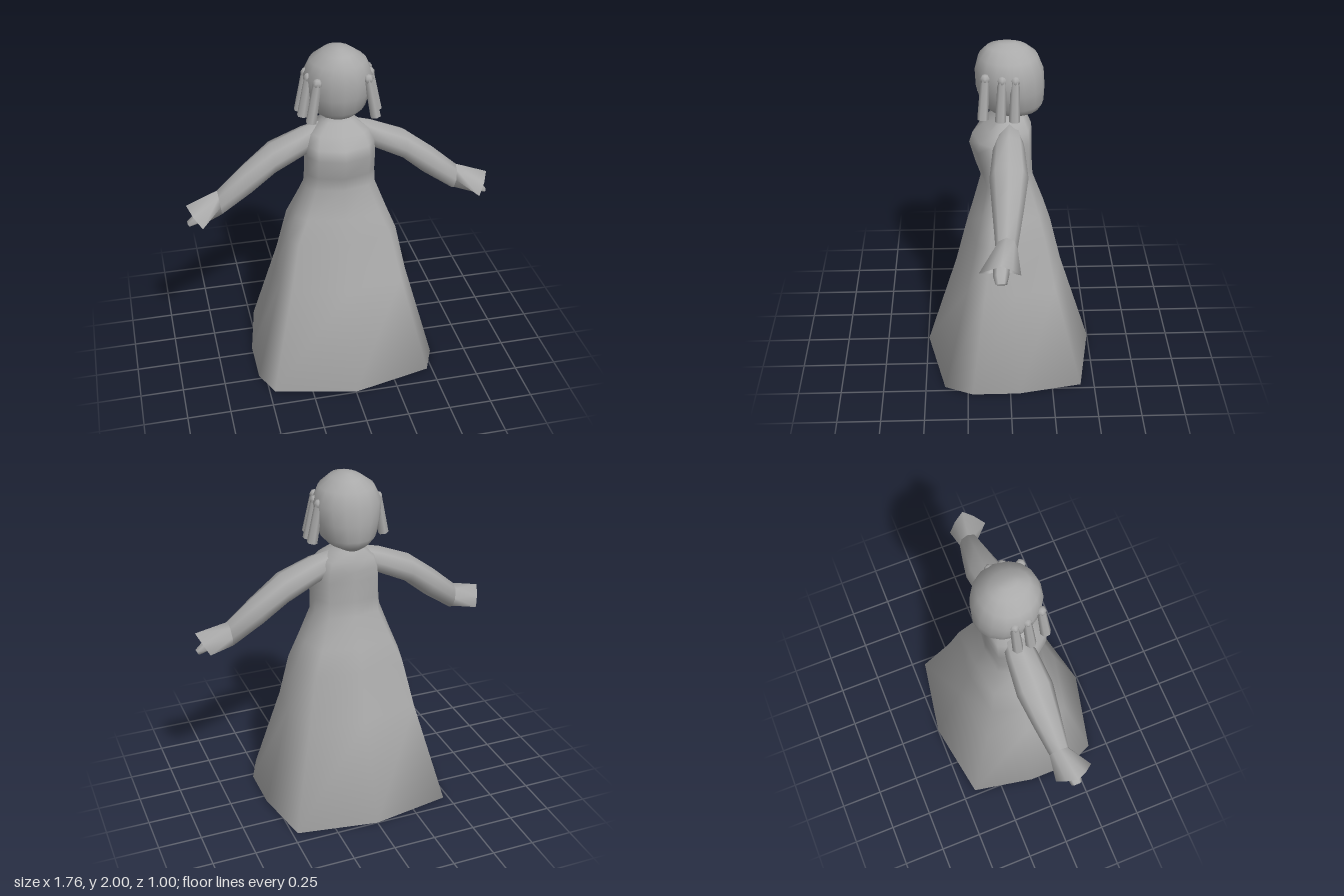
import * as THREE from 'three';

const gray = new THREE.MeshStandardMaterial({ color: 0xaaaaaa, side: THREE.DoubleSide });
gray.name = 'plain gray';

// Skin a list of equal-length rings of [x, y, z]; shared vertices give smooth normals.
function loft(name, rings, capped = true) {
  const n = rings[0].length, pos = rings.flat(2), index = [];
  for (let r = 0; r < rings.length - 1; r++) {
    for (let i = 0; i < n; i++) {
      const a = r * n + i, b = r * n + (i + 1) % n;
      index.push(a, b, b + n, a, b + n, a + n);
    }
  }
  const cap = (r, flip) => {
    const c = pos.length / 3;
    for (let k = 0; k < 3; k++) pos.push(rings[r].reduce((s, p) => s + p[k], 0) / n);
    for (let i = 0; i < n; i++) {
      const a = r * n + i, b = r * n + (i + 1) % n;
      if (flip) index.push(c, b, a); else index.push(c, a, b);
    }
  };
  if (capped) {
    cap(0, true);
    cap(rings.length - 1, false);
  }
  const g = new THREE.BufferGeometry();
  g.setAttribute('position', new THREE.Float32BufferAttribute(pos, 3));
  g.setIndex(index);
  g.computeVertexNormals();
  const mesh = new THREE.Mesh(g, gray);
  mesh.name = name;
  return mesh;
}

// Ten-sided, boxy cross-section of the gown: height, half width, front z, back z, corner width
function gownRing([y, x, f, b, c]) {
  const half = [[x * c, f * 0.78], [x, f * 0.45], [x, b * 0.1], [x * c, b * 0.84]];
  return [[0, y, f], ...half.map(([px, z]) => [px, y, z]), [0, y, b],
    ...half.reverse().map(([px, z]) => [-px, y, z])];
}

// Oval head cross-section: height, half width, front z, back z
function headRing([y, x, f, b]) {
  const ring = [];
  for (let i = 0; i < 16; i++) {
    const t = i / 16 * Math.PI * 2, c = Math.cos(t);
    ring.push([x * Math.sin(t), y, (f + b) / 2 + c * (f - b) / 2]);
  }
  return ring;
}

// Ring across a limb: centre x, y, z, half height, half depth, slope direction
function limbRing([x, y, z, h, w, dx = 0.78, dy = -0.62], n = 8) {
  const ring = [];
  for (let i = 0; i < n; i++) {
    const t = i / n * Math.PI * 2, s = Math.sin(t) * h;
    ring.push([x + dy * s, y - dx * s, z + Math.cos(t) * w]);
  }
  return ring;
}

// Hanging lock of hair with a bead at the top
function hairLock(top, bottom) {
  const lock = new THREE.Group();
  lock.name = 'hairLock';
  const a = new THREE.Vector3(...top), b = new THREE.Vector3(...bottom);
  const strand = new THREE.Mesh(new THREE.CylinderGeometry(0.024, 0.03, a.distanceTo(b), 6, 3), gray);
  strand.name = 'lockStrand';
  strand.position.copy(a).lerp(b, 0.5);
  strand.quaternion.setFromUnitVectors(new THREE.Vector3(0, 1, 0), a.clone().sub(b).normalize());
  const bead = new THREE.Mesh(new THREE.SphereGeometry(0.028, 6, 5), gray);
  bead.name = 'lockBead';
  bead.position.copy(a);
  lock.add(strand, bead);
  return lock;
}

// One arm with bell cuff and hand, plus the hair locks of that side
function buildSide(name) {
  const side = new THREE.Group();
  side.name = name;
  const wrist = [0.69, 1.132, 0.027, 0.078, 0.058, 0.99, -0.12];
  side.add(loft('sleeve', [
    [0.08, 1.5, -0.01, 0.07, 0.06, 1, 0],
    [0.2, 1.455, 0, 0.082, 0.088, 1, 0],
    [0.378, 1.375, 0.005, 0.086, 0.105, 0.99, -0.1],
    [0.53, 1.255, 0.015, 0.083, 0.083, 0.95, -0.3],
    wrist,
  ].map(r => limbRing(r))));

  // Flared cuff, open at the mouth
  side.add(loft('cuff', [
    limbRing(wrist),
    [[0.805, 1.06, 0.175], [0.8, 1.055, 0.12], [0.785, 1.058, 0.06], [0.8, 1.055, 0.005],
      [0.825, 1.057, -0.045], [0.855, 1.11, 0], [0.88, 1.155, 0.06], [0.85, 1.11, 0.12]],
  ], false));

  side.add(loft('hand', [
    [0.7, 1.125, 0.04, 0.03, 0.03],
    [0.77, 1.09, 0.055, 0.032, 0.045],
    [0.83, 1.06, 0.06, 0.025, 0.042],
    [0.873, 1.035, 0.06, 0.014, 0.03],
  ].map(r => limbRing(r, 6))));

  side.add(
    hairLock([0.14, 1.85, 0.125], [0.18, 1.63, 0.14]),
    hairLock([0.17, 1.85, 0.035], [0.21, 1.63, 0.045]),
    hairLock([0.173, 1.85, -0.035], [0.213, 1.63, -0.03]),
  );
  return side;
}

export function createModel() {
  const model = new THREE.Group();
  model.name = 'gownedFigure';

  // Hollow underside, hem, skirt, bodice and neck in one continuous surface
  model.add(loft('gown', [
    [0.34, 0.06, 0.055, -0.055, 0.87],
    [0.22, 0.32, 0.29, -0.295, 0.87],
    [0, 0.54, 0.495, -0.5, 0.87],
    [0.6, 0.38, 0.31, -0.315, 0.86],
    [0.88, 0.322, 0.24, -0.25, 0.84],
    [1.02, 0.265, 0.2, -0.205, 0.8],
    [1.19, 0.2, 0.155, -0.142, 0.75],
    [1.28, 0.193, 0.185, -0.137, 0.75],
    [1.4, 0.193, 0.218, -0.135, 0.75],
    [1.46, 0.188, 0.2, -0.135, 0.75],
    [1.52, 0.165, 0.135, -0.13, 0.75],
    [1.575, 0.09, 0.07, -0.1, 0.75],
    [1.61, 0.065, 0.05, -0.07, 0.75],
    [1.66, 0.06, 0.045, -0.065, 0.75],
  ].map(gownRing)));

  // Head with rounded bobbed hair
  model.add(loft('head', [
    [1.585, 0.055, 0.02, -0.13],
    [1.615, 0.115, 0.105, -0.172],
    [1.66, 0.158, 0.15, -0.198],
    [1.75, 0.182, 0.175, -0.202],
    [1.85, 0.192, 0.18, -0.195],
    [1.93, 0.155, 0.16, -0.163],
    [1.98, 0.085, 0.115, -0.105],
    [2, 0.03, 0.05, -0.045],
  ].map(headRing)));

  const left = buildSide('leftSide'), right = buildSide('rightSide');
  right.scale.x = -1;
  model.add(left, right);
  return model;
}
